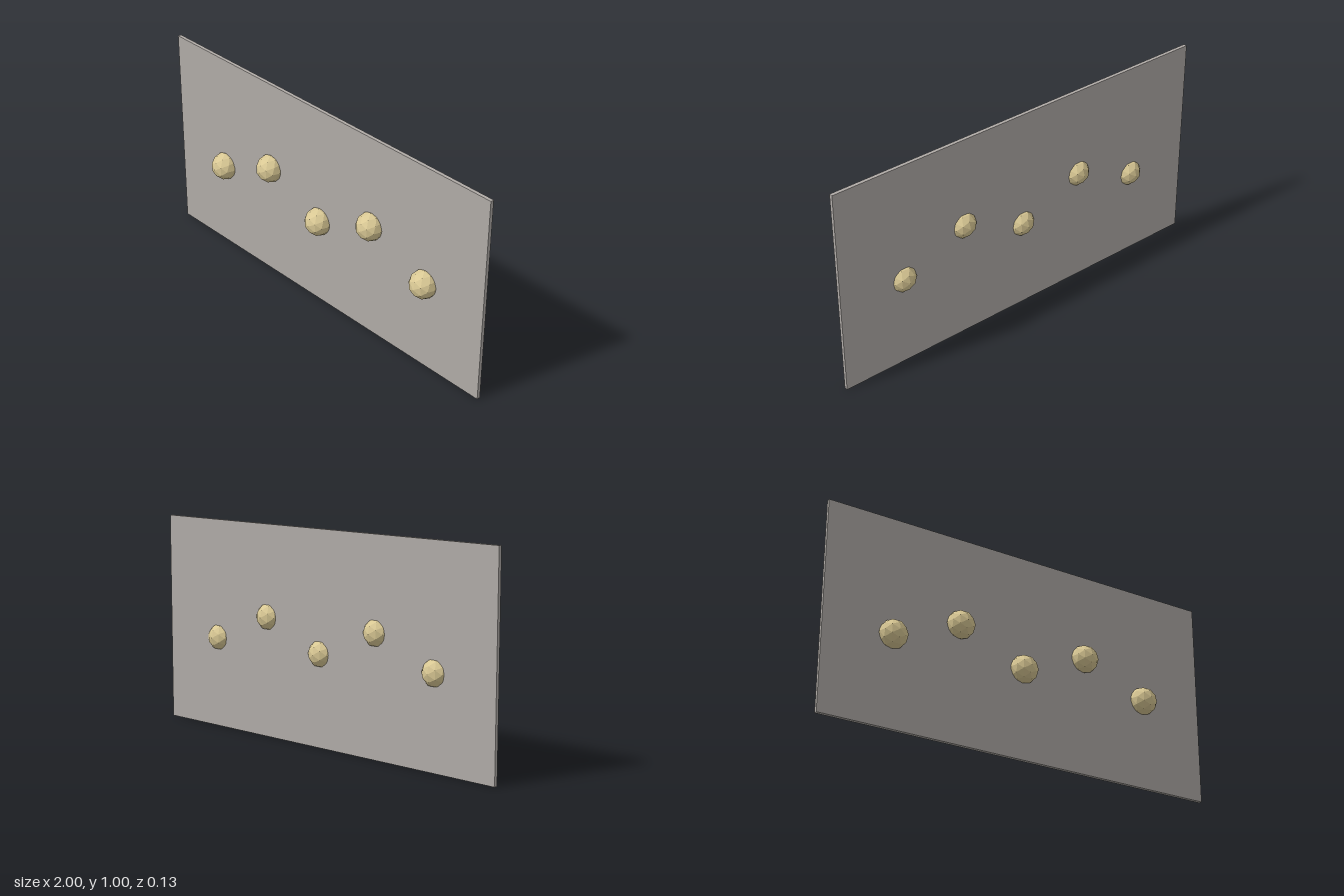
import * as THREE from 'three';

export function createModel() {
  const group = new THREE.Group();
  const panelGrey = new THREE.MeshStandardMaterial({ color: 0xb0aba7 });
  const paleGold = new THREE.MeshStandardMaterial({ color: 0xd9c894 });
  paleGold.flatShading = true;

  // Thin upright panel, set slightly behind the knob centres
  const panel = new THREE.Mesh(new THREE.BoxGeometry(2, 1, 0.017), panelGrey);
  panel.name = 'panel';
  panel.position.set(0, 0.5, -0.0165);
  group.add(panel);

  // Five faceted knobs in a zigzag row, showing on both faces
  const knobGeometry = new THREE.IcosahedronGeometry(0.0667, 1);
  for (let i = 0; i < 5; i++) {
    const knob = new THREE.Mesh(knobGeometry, paleGold);
    knob.name = `knob${i + 1}`;
    knob.position.set((i - 2) / 3, i % 2 ? 0.5667 : 0.4333, 0);
    group.add(knob);
  }
  return group;
}
